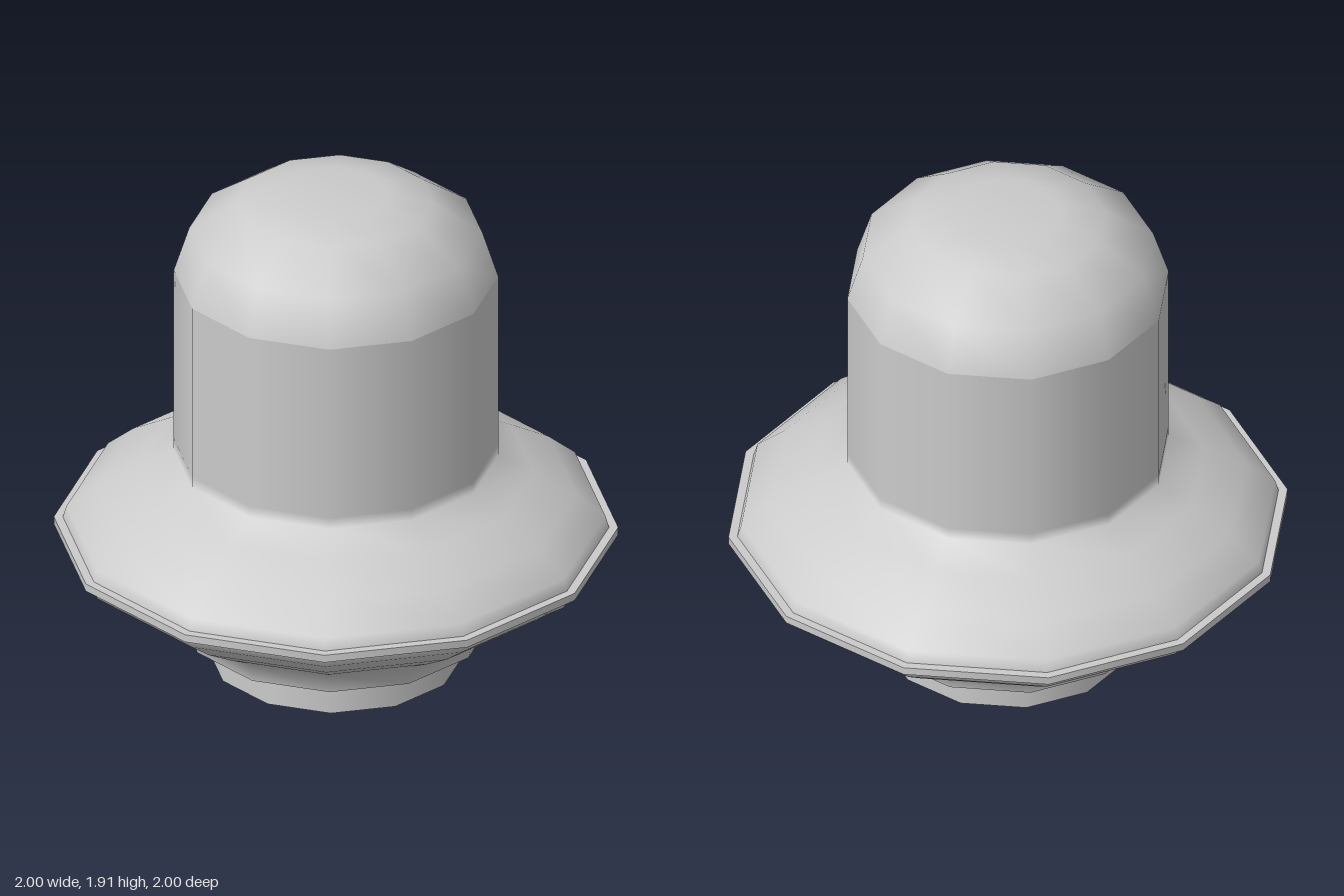
import * as THREE from 'three';

const SIDES = 12;
const HALF = Math.PI / SIDES;

// Twelve-sided turned part; profile rows are [distance to the flat, height], bottom to top
function turned(name, profile, material) {
  const points = profile.map(([flat, y]) => new THREE.Vector2(flat / Math.cos(HALF), y));
  const mesh = new THREE.Mesh(new THREE.LatheGeometry(points, SIDES, HALF), material);
  mesh.name = name;
  return mesh;
}

export function createModel() {
  const model = new THREE.Group();
  model.name = 'domedSaucer';
  const grey = new THREE.MeshStandardMaterial({ color: 0xcccccc, side: THREE.DoubleSide });
  const add = (name, profile) => model.add(turned(name, profile, grey));

  // Hollow foot and the flat underside that closes it
  add('foot', [[0.452, 0], [0.452, 0.145]]);
  add('underside', [[0, 0.145], [0.555, 0.145]]);

  // Bowl below and above the rim
  add('lowerSaucer', [
    [0.555, 0.145], [0.575, 0.225], [0.70, 0.298], [0.84, 0.385], [0.955, 0.472], [0.968, 0.515],
  ]);
  add('upperSaucer', [
    [0.968, 0.545], [0.955, 0.59], [0.85, 0.682], [0.70, 0.77], [0.575, 0.835], [0.575, 0.88],
  ]);

  // Thin protruding rim: bottom face, edge, top face
  add('rimBottom', [[0.968, 0.515], [1, 0.515]]);
  add('rimEdge', [[1, 0.515], [1, 0.545]]);
  add('rimTop', [[1, 0.545], [0.968, 0.545]]);

  // Straight body and rounded dome
  add('body', [[0.575, 0.88], [0.575, 1.58]]);
  add('dome', [
    [0.575, 1.58], [0.52, 1.757], [0.35, 1.878], [0.195, 1.915], [0, 1.915],
  ]);

  return model;
}
